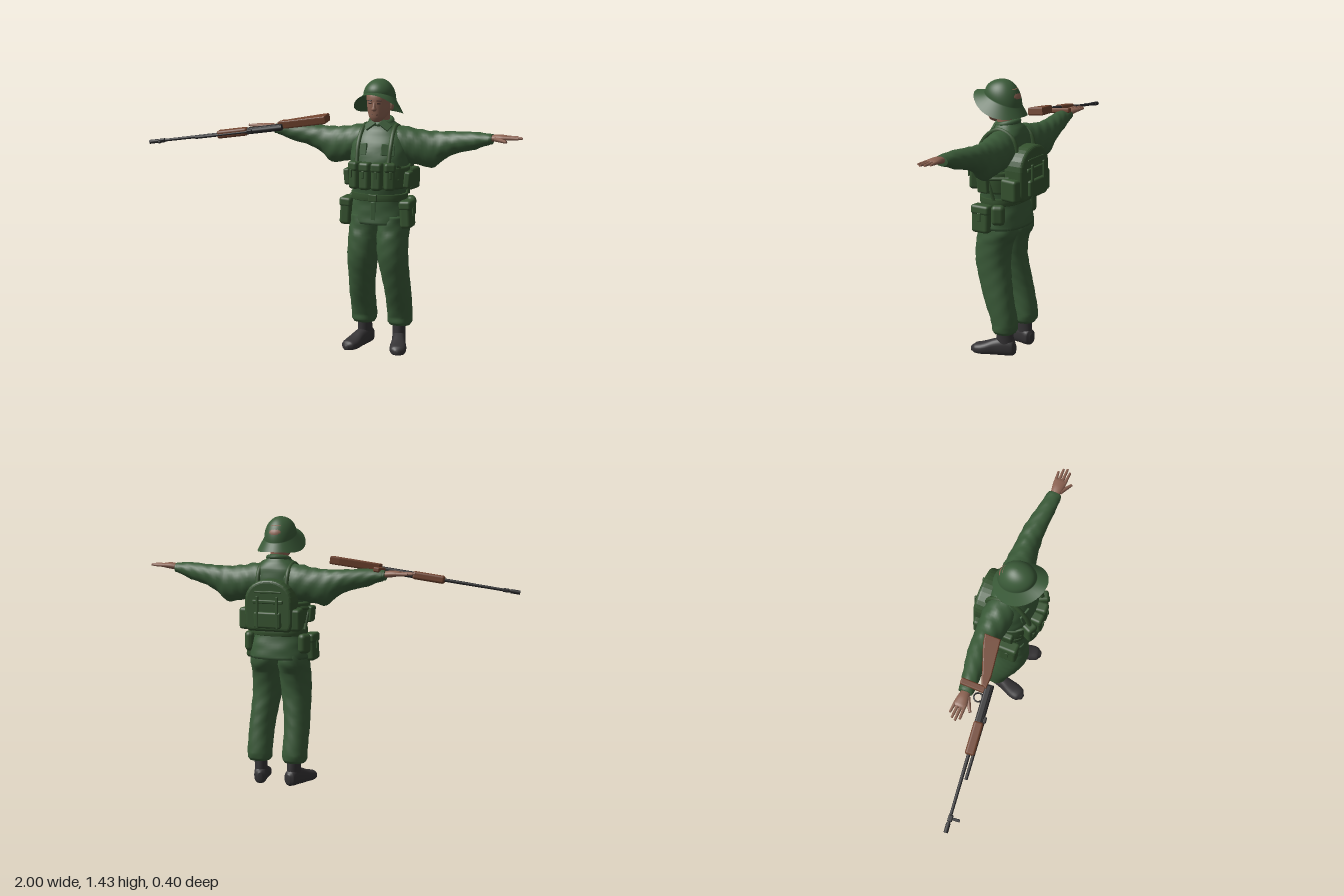
import * as THREE from 'three';
import { RoundedBoxGeometry } from 'three/addons/geometries/RoundedBoxGeometry.js';
import { ParametricGeometry } from 'three/addons/geometries/ParametricGeometry.js';

const mat = (name, color, side = THREE.FrontSide) => {
  const m = new THREE.MeshStandardMaterial({ color, side });
  m.name = name;
  return m;
};

// Smooth loft along axis k (0 x, 1 y, 2 z); rows are [t, centre1, centre2, radius1, radius2],
// where 1 and 2 are the next axes in cyclic order. Fold adds soft cloth creases.
function loft(k, rows, { n = 28, steps = 5, power = 2, fold = 0, floor = -Infinity } = {}) {
  const pos = [], idx = [], rings = (rows.length - 1) * steps + 1;
  const cr = (a, b, c, d, f) =>
    b + 0.5 * f * (c - a + f * (2 * a - 5 * b + 4 * c - d + f * (3 * (b - c) + d - a)));
  const put = (t, a, b) => {
    const p = [];
    p[k] = t; p[(k + 1) % 3] = a; p[(k + 2) % 3] = b;
    p[1] = Math.max(p[1], floor);
    pos.push(...p);
  };
  const round = v => Math.sign(v) * Math.abs(v) ** (2 / power);
  for (let i = 0; i < rings; i++) {
    const s = Math.min(Math.floor(i / steps), rows.length - 2), f = i / steps - s;
    const at = j => rows[Math.max(0, Math.min(rows.length - 1, j))];
    const r = rows[0].map((_, c) => c === 0
      ? at(s)[0] + f * (at(s + 1)[0] - at(s)[0])
      : cr(at(s - 1)[c], at(s)[c], at(s + 1)[c], at(s + 2)[c], f));
    for (let j = 0; j < n; j++) {
      const a = j / n * Math.PI * 2;
      const w = 1 + fold * (Math.sin(3 * a + r[0] * 45) * Math.sin(r[0] * 60 + a) + 0.5 * Math.sin(5 * a - r[0] * 80));
      put(r[0], r[1] + round(Math.cos(a)) * r[3] * w, r[2] + round(Math.sin(a)) * r[4] * w);
    }
  }
  for (let i = 0; i < rings - 1; i++) for (let j = 0; j < n; j++) {
    const a = i * n + j, b = i * n + (j + 1) % n;
    idx.push(a, b, b + n, a, b + n, a + n);
  }
  const first = rows[0], last = rows[rows.length - 1], c = pos.length / 3;
  put(first[0], first[1], first[2]);
  put(last[0], last[1], last[2]);
  for (let j = 0; j < n; j++) {
    const e = (rings - 1) * n, q = (j + 1) % n;
    idx.push(c, q, j, c + 1, e + j, e + q);
  }
  const g = new THREE.BufferGeometry();
  g.setAttribute('position', new THREE.Float32BufferAttribute(pos, 3));
  g.setIndex(idx);
  g.computeVertexNormals();
  return g;
}

function mirrorX(geo) {
  const g = geo.index ? geo.toNonIndexed() : geo.clone();
  g.scale(-1, 1, 1);
  for (const name of Object.keys(g.attributes)) {
    const at = g.attributes[name], s = at.itemSize;
    for (let i = 0; i < at.count; i += 3) for (let c = 0; c < s; c++) {
      const p = (i + 1) * s + c, q = (i + 2) * s + c, v = at.array[p];
      at.array[p] = at.array[q]; at.array[q] = v;
    }
  }
  return g;
}

export function createModel() {
  const cloth = mat('green cloth', 0x3a5a38), hatCloth = mat('hat cloth', 0x3a5a38, THREE.DoubleSide);
  const gear = mat('gear green', 0x35522f), skin = mat('skin', 0x8c6352), leather = mat('boot leather', 0x353335);
  const wood = mat('wood', 0x71442f), metal = mat('gun metal', 0x29292b), dark = mat('dark brown', 0x3a2622);
  const model = new THREE.Group(), soldier = new THREE.Group();
  soldier.name = 'soldier';
  soldier.position.x = 0.255;
  model.add(soldier);

  const add = (name, geo, m, parent = soldier) => {
    const mesh = new THREE.Mesh(geo, m);
    mesh.name = name;
    parent.add(mesh);
    return mesh;
  };
  const pair = (name, geo, m) => { add(name + 'Left', geo, m); add(name + 'Right', mirrorX(geo), m); };
  const box = (w, h, d, x, y, z, rx = 0, ry = 0, rz = 0, r = 0.3) => {
    const g = new RoundedBoxGeometry(w, h, d, 3, Math.min(w, h, d) * r);
    return g.applyMatrix4(new THREE.Matrix4().makeRotationFromEuler(new THREE.Euler(rx, ry, rz))).translate(x, y, z);
  };
  const rod = (a, b, r0, r1 = r0, n = 12) => {
    const p = new THREE.Vector3(...a), d = new THREE.Vector3(...b).sub(p);
    const g = new THREE.CylinderGeometry(r1, r0, d.length(), n);
    g.applyQuaternion(new THREE.Quaternion().setFromUnitVectors(new THREE.Vector3(0, 1, 0), d.clone().normalize()));
    return g.translate(...p.addScaledVector(d, 0.5).toArray());
  };
  const tube = (pts, r) => new THREE.TubeGeometry(
    new THREE.CatmullRomCurve3(pts.map(p => new THREE.Vector3(...p))), 24, r, 8);

  // Jacket, belt and trousers
  add('jacket', loft(1, [[0.685, -0.015, 0, 0.12, 0.162], [0.75, -0.013, 0, 0.112, 0.155], [0.82, -0.005, 0, 0.104, 0.14],
    [0.92, 0, 0, 0.114, 0.146], [1.02, -0.008, 0, 0.118, 0.153], [1.1, -0.02, 0, 0.104, 0.148],
    [1.16, -0.033, 0, 0.083, 0.125], [1.193, -0.033, 0, 0.068, 0.085], [1.22, -0.025, 0, 0.055, 0.058]],
    { n: 40, power: 2.3, fold: 0.012 }), cloth);
  add('belt', loft(1, [[0.808, -0.005, 0, 0.11, 0.147], [0.825, -0.005, 0, 0.112, 0.148], [0.845, -0.004, 0, 0.111, 0.147]],
    { n: 40, power: 2.3 }), gear);
  add('buckle', box(0.045, 0.036, 0.012, 0, 0.827, 0.108), gear);
  add('jacketPlacket', box(0.024, 0.11, 0.006, 0, 0.75, 0.1, 0.03), cloth);
  pair('trouserLeg', loft(1, [[0.125, -0.062, 0.1, 0.054, 0.056], [0.14, -0.062, 0.1, 0.064, 0.065], [0.18, -0.06, 0.1, 0.068, 0.066],
    [0.3, -0.027, 0.1, 0.08, 0.066], [0.4, -0.002, 0.092, 0.086, 0.071], [0.5, 0.017, 0.083, 0.092, 0.078],
    [0.6, 0.01, 0.078, 0.099, 0.08], [0.66, -0.01, 0.078, 0.108, 0.08], [0.73, -0.01, 0.076, 0.1, 0.075]],
    { power: 2.2, fold: 0.02 }), cloth);

  // Boots, turned slightly outwards
  const boot = [
    loft(2, [[-0.062, 0, 0.035, 0.012, 0.025], [-0.05, 0, 0.04, 0.032, 0.04], [-0.01, 0, 0.045, 0.036, 0.05],
      [0.05, 0, 0.036, 0.036, 0.045], [0.11, 0, 0.024, 0.044, 0.034], [0.155, 0, 0.02, 0.038, 0.026], [0.178, 0, 0.016, 0.014, 0.014]],
      { power: 2.4, floor: 0 }),
    loft(1, [[0.04, -0.005, 0, 0.05, 0.034], [0.08, -0.006, 0, 0.046, 0.034], [0.15, -0.004, 0, 0.042, 0.035]])];
  boot.forEach((g, i) => pair(['bootFoot', 'bootShaft'][i], g.rotateY(0.27).translate(0.097, 0, -0.055), leather));

  // Sleeves and hands
  pair('sleeve', loft(0, [[0.04, 1.1, -0.035, 0.09, 0.08], [0.13, 1.092, -0.045, 0.094, 0.082], [0.2, 1.08, -0.05, 0.094, 0.074],
    [0.28, 1.072, -0.055, 0.095, 0.064], [0.33, 1.095, -0.055, 0.072, 0.06], [0.4, 1.115, -0.05, 0.055, 0.055],
    [0.5, 1.13, -0.036, 0.045, 0.046], [0.575, 1.142, -0.028, 0.029, 0.039], [0.59, 1.143, -0.027, 0.026, 0.036]],
    { fold: 0.035 }), cloth);
  pair('palm', loft(0, [[0.57, 1.146, -0.025, 0.016, 0.022], [0.62, 1.152, -0.025, 0.018, 0.03],
    [0.66, 1.154, -0.025, 0.013, 0.034], [0.675, 1.154, -0.025, 0.008, 0.03]], { n: 16 }), skin);
  for (let i = 0; i < 4; i++) {
    const z = -0.05 + i * 0.0165, tip = [0.715, 0.737, 0.745, 0.73][i];
    pair('finger' + (i + 1), rod([0.655, 1.154, z], [tip, 1.155, z * 1.2 + 0.004], 0.009, 0.006, 8), skin);
  }
  pair('thumb', rod([0.61, 1.148, -0.005], [0.675, 1.14, 0.034], 0.013, 0.007, 8), skin);

  // Neck, head and face
  add('neck', loft(1, [[1.16, -0.025, 0, 0.05, 0.05], [1.22, -0.015, 0, 0.05, 0.047], [1.28, -0.015, 0, 0.055, 0.047]]), skin);
  add('head', loft(1, [[1.214, 0.052, 0, 0.012, 0.012], [1.222, 0.046, 0, 0.032, 0.028], [1.24, 0.032, 0, 0.054, 0.043],
    [1.27, 0.01, 0, 0.08, 0.055], [1.31, 0.003, 0, 0.09, 0.06], [1.35, 0, 0, 0.09, 0.064], [1.39, 0, 0, 0.07, 0.055]],
    { power: 2.2 }), skin);
  add('nose', loft(1, [[1.272, 0.09, 0, 0.006, 0.006], [1.28, 0.092, 0, 0.016, 0.014], [1.295, 0.092, 0, 0.013, 0.009],
    [1.318, 0.09, 0, 0.006, 0.006]], { n: 12 }), skin);
  add('mouth', box(0.032, 0.006, 0.006, 0, 1.254, 0.084), dark);
  pair('eye', box(0.018, 0.008, 0.005, 0.024, 1.312, 0.088, 0, 0.2), dark);
  pair('eyebrow', box(0.026, 0.006, 0.007, 0.025, 1.326, 0.088, 0, 0.2), dark);
  pair('ear', new THREE.SphereGeometry(1, 12, 10).scale(0.01, 0.026, 0.016).translate(0.062, 1.295, -0.008), skin);

  // Soft hat: dome, then a brim that lifts at the front and droops at sides and back
  add('brimmedHat', new ParametricGeometry((u, v, p) => {
    const a = u * Math.PI * 2, c = Math.cos(a), s = Math.sin(a), base = 1.333 + 0.035 * c;
    const f = Math.max(0, v * 2 - 1), phi = Math.min(1, v * 2) * Math.PI / 2;
    const edge = 1.268 + 0.055 * c + 0.04 * c * c, r = Math.sin(phi);
    p.set(s * (0.083 * r + 0.043 * f), base + (1.432 - base) * Math.cos(phi) + (edge - base) * f,
      0.002 + 0.018 * f + c * (0.098 * r + 0.042 * f));
  }, 40, 28), hatCloth);
  pair('collarFlap', box(0.062, 0.042, 0.012, 0.04, 1.196, 0.032, -0.7, 0.45, -0.45), cloth);
  add('collar', new THREE.TorusGeometry(0.054, 0.014, 8, 28).rotateX(Math.PI / 2 + 0.25).translate(0, 1.212, -0.025), cloth);
  pair('chestPocket', box(0.07, 0.06, 0.012, 0.072, 1.075, 0.082, -0.2, 0.3), cloth);

  // Chest rig: band, four magazine pouches, side pouches and straps
  add('rigBand', loft(1, [[0.875, -0.002, 0, 0.12, 0.153], [0.93, -0.002, 0, 0.124, 0.157], [0.99, -0.005, 0, 0.124, 0.158]],
    { n: 40, power: 2.3 }), gear);
  [[0.031, 0.131, 0.08], [0.091, 0.112, 0.45]].forEach(([x, z, turn], i) => {
    pair('magazinePouch' + i, box(0.055, 0.135, 0.062, x, 0.94, z, -0.05, turn), gear);
    pair('pouchFlap' + i, box(0.06, 0.05, 0.069, x, 0.99, z, -0.05, turn), gear);
    pair('pouchTab' + i, box(0.014, 0.04, 0.008, x + Math.sin(turn) * 0.037, 0.955, z + Math.cos(turn) * 0.036, 0, turn), gear);
  });
  pair('sidePouch', box(0.035, 0.085, 0.065, 0.163, 0.92, 0.02, 0, 0, -0.1), gear);
  pair('shoulderStrap', tube([[0.085, 1.0, 0.115], [0.088, 1.1, 0.085], [0.085, 1.165, 0.035], [0.082, 1.19, -0.03],
    [0.082, 1.15, -0.105], [0.08, 1.07, -0.13]], 0.012), gear);
  pair('sideStrap', tube([[0.12, 1.0, 0.085], [0.155, 0.94, 0.0], [0.148, 0.84, -0.03]], 0.009), gear);
  pair('packStrap', tube([[0.12, 0.92, 0.08], [0.158, 0.95, 0], [0.13, 0.96, -0.11]], 0.009), gear);

  // Hip pouches hanging from the belt
  pair('hipPouch', box(0.06, 0.14, 0.1, 0.163, 0.74, 0.03, 0, 0, 0.06), gear);
  pair('hipPouchFlap', box(0.066, 0.05, 0.106, 0.162, 0.79, 0.03, 0, 0, 0.06), gear);
  pair('hipPouchTab', box(0.008, 0.045, 0.02, 0.195, 0.755, 0.03, 0, 0, 0.06), gear);
  pair('canteen', box(0.05, 0.105, 0.07, 0.155, 0.77, -0.06, 0, 0.45, 0, 0.45), gear);

  // Backpack with a domed top, lid, pockets and straps
  const dome = new THREE.Shape();
  dome.moveTo(-0.1, 0.86).lineTo(0.1, 0.86).quadraticCurveTo(0.115, 0.86, 0.115, 0.9).lineTo(0.115, 1.0)
    .bezierCurveTo(0.115, 1.13, -0.115, 1.13, -0.115, 1.0).lineTo(-0.115, 0.9).quadraticCurveTo(-0.115, 0.86, -0.1, 0.86);
  add('backpack', new THREE.ExtrudeGeometry(dome, { depth: 0.07, bevelSize: 0.018, bevelThickness: 0.02, bevelSegments: 4, curveSegments: 16 })
    .translate(0, 0, -0.168), gear);
  add('packPocket', box(0.15, 0.085, 0.035, 0, 0.905, -0.188), gear);
  add('packLid', box(0.17, 0.02, 0.022, 0, 1.0, -0.187), gear);
  add('packSeam', box(0.15, 0.012, 0.02, 0, 1.05, -0.182), gear);
  pair('packSidePocket', box(0.055, 0.115, 0.1, 0.138, 0.905, -0.125, 0, -0.15), gear);
  pair('packTieStrap', box(0.014, 0.17, 0.012, 0.055, 0.945, -0.201), gear);

  // Rifle, lying on its side along the right arm: local x to the muzzle, y to its sights
  const rifle = new THREE.Group();
  rifle.name = 'rifle';
  const fx = new THREE.Vector3(-0.74, -0.105, 0.085).normalize(), fy = new THREE.Vector3(0.1, -0.1, 1);
  fy.addScaledVector(fx, -fy.dot(fx)).normalize();
  rifle.applyMatrix4(new THREE.Matrix4().makeBasis(fx, fy, fx.clone().cross(fy)).setPosition(-0.26, 1.165, 0.068));
  model.add(rifle);
  const gun = (name, geo, m) => add(name, geo, m, rifle);
  gun('receiver', box(0.2, 0.036, 0.034, 0.1, 0, 0), metal);
  gun('receiverCover', rod([0.0, 0.012, 0], [0.19, 0.012, 0], 0.015), metal);
  gun('handguard', box(0.17, 0.05, 0.042, 0.275, 0.004, 0), wood);
  gun('barrel', rod([0.34, 0, 0], [0.752, 0, 0], 0.009, 0.007), metal);
  gun('muzzle', rod([0.705, 0, 0], [0.752, 0, 0], 0.011), metal);
  gun('gasTube', rod([0.18, 0.024, 0], [0.48, 0.022, 0], 0.008), metal);
  gun('frontSight', box(0.014, 0.05, 0.012, 0.68, 0.025, 0), metal);
  gun('frontSightBase', box(0.035, 0.024, 0.02, 0.68, 0.002, 0), metal);
  gun('rearSight', box(0.03, 0.018, 0.022, 0.175, 0.028, 0), metal);
  gun('triggerGuard', new THREE.TorusGeometry(0.022, 0.004, 6, 16).translate(0.075, -0.034, 0), metal);
  gun('pistolGrip', box(0.034, 0.13, 0.026, 0.025, -0.075, 0, 0, 0, -0.1), wood);
  const butt = new THREE.Shape();
  butt.moveTo(0.02, -0.012).lineTo(-0.04, -0.006).lineTo(-0.225, -0.012).lineTo(-0.232, -0.085)
    .lineTo(-0.19, -0.08).lineTo(0.01, -0.03);
  gun('buttStock', new THREE.ExtrudeGeometry(butt, { depth: 0.026, bevelSize: 0.006, bevelThickness: 0.008, bevelSegments: 3 })
    .translate(0, 0, -0.004), wood);
  return model;
}
